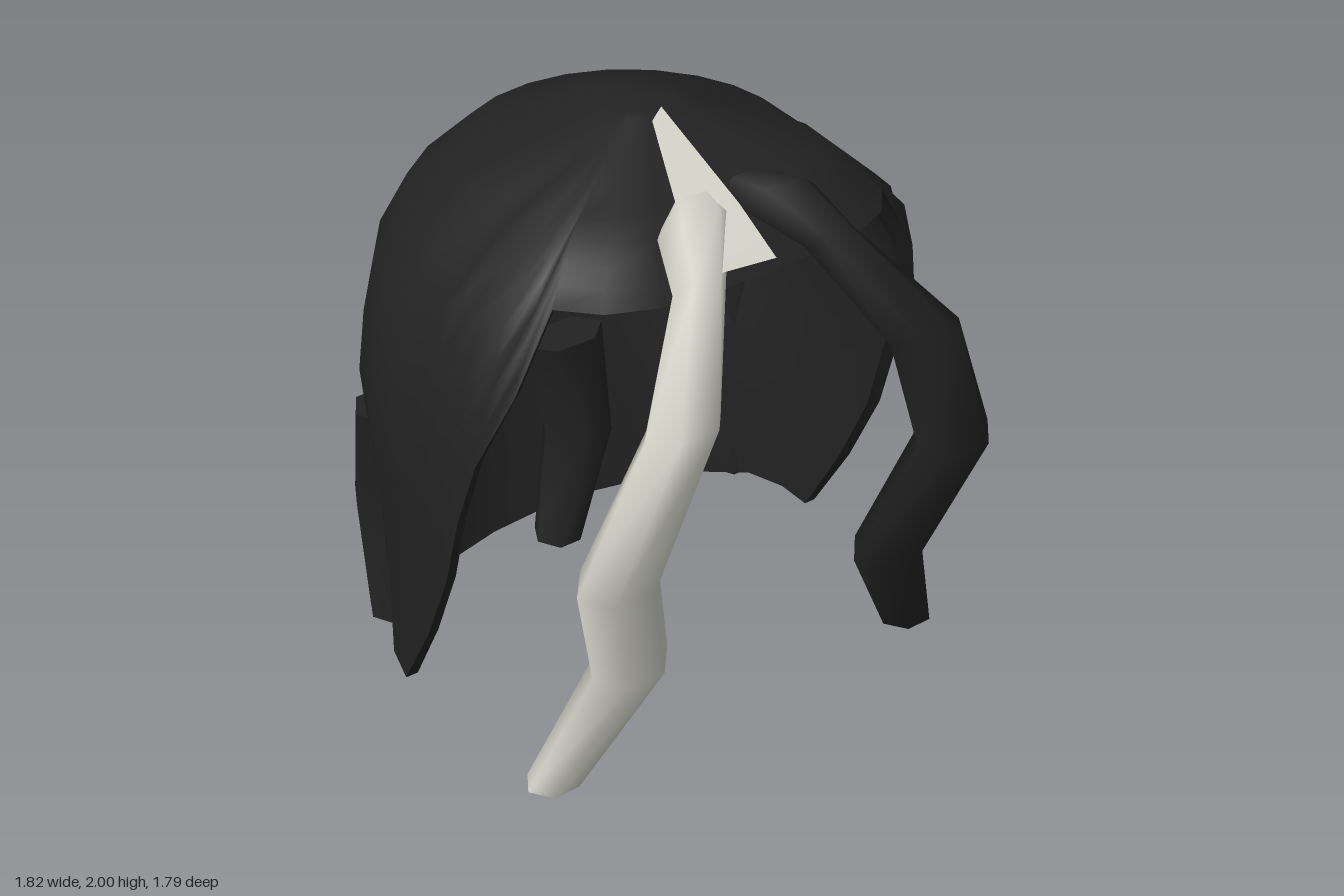
import * as THREE from 'three';

const dark = new THREE.MeshStandardMaterial({ color: 0x222222, side: THREE.DoubleSide });
dark.name = 'charcoal hair';
const pale = new THREE.MeshStandardMaterial({ color: 0xd2d2c8, side: THREE.DoubleSide });
pale.name = 'pale hair';

// Skin a stack of equal rings, ordered top to bottom; rings run from +z towards +x
function loft(rings, closed = true) {
  const n = rings[0].length, pos = rings.flat(2), index = [];
  for (let k = 0; k < rings.length - 1; k++) {
    for (let j = 0; j < (closed ? n : n - 1); j++) {
      const a = k * n + j, b = k * n + (j + 1) % n;
      index.push(a, a + n, b, b, a + n, b + n);
    }
  }
  const g = new THREE.BufferGeometry();
  g.setAttribute('position', new THREE.Float32BufferAttribute(pos, 3));
  g.setIndex(index);
  g.computeVertexNormals();
  return g;
}

function add(group, name, geometry, material) {
  const mesh = new THREE.Mesh(geometry, material);
  mesh.name = name;
  group.add(mesh);
}

// Cap profile: height, half width, centre z, half depth
const profile = [
  [2.0, 0.10, -0.05, 0.13], [1.8, 0.55, -0.10, 0.55], [1.58, 0.79, -0.10, 0.78],
  [1.15, 0.91, -0.10, 0.80], [0.64, 0.90, -0.05, 0.73], [0.07, 0.88, -0.14, 0.51],
];
function capPoint(deg, y, inset) {
  let i = 0;
  while (i < profile.length - 2 && y < profile[i + 1][0]) i++;
  const p = profile[i], q = profile[i + 1], t = (p[0] - y) / (p[0] - q[0]);
  const [rx, zc, rz] = [1, 2, 3].map((m) => p[m] + (q[m] - p[m]) * t);
  const a = THREE.MathUtils.degToRad(deg), s = Math.sin(a), c = Math.cos(a);
  const e = c > 0 ? 0.6 : 1; // front is squarer than the back
  return [
    Math.sign(s) * Math.abs(s) ** e * Math.max(rx - inset, 0.02), y - inset * 0.4 * (y > 1.7 ? 1 : 0),
    zc + Math.sign(c) * Math.abs(c) ** e * Math.max(rz - inset, 0.02),
  ];
}

// Rim height by angle from the front: high over the face, low at the back
const rimHalf = [
  [0, 1.65], [20, 1.65], [38, 1.65], [56, 1.65], [62, 1.4], [70, 1.15], [77.5, 0.9], [83, 0.64],
  [86.5, 0.35], [91, 0.07], [104, 0.1], [118, 0.13], [134, 0.13], [150, 0.13], [165, 0.13], [180, 0.13],
];
const rim = [...rimHalf, ...rimHalf.slice(1, -1).reverse().map(([d, h]) => [360 - d, h])];

function capGeometry() {
  const rows = 10;
  const ring = (k, inset) => rim.map(([d, h]) => capPoint(d, 2 - (2 - h) * (k / rows) ** 1.4, inset));
  const point = (y) => rim.map(() => [0, y, -0.05]);
  const outer = [point(2)], inner = [];
  for (let k = 0; k <= rows; k++) {
    outer.push(ring(k, 0));
    inner.unshift(ring(k, 0.045));
  }
  // repeated rim rings keep the edge crisp
  return loft([...outer, outer[rows + 1], inner[0], ...inner, point(1.98)]);
}

// Six-sided lock of hair; stations are [x, y, z, half width, half depth]
function lockGeometry(stations, side = 1) {
  const pts = stations.map(([x, y, z]) => new THREE.Vector3(x * side, y, z));
  const X = new THREE.Vector3(1, 0, 0);
  const rings = stations.map(([, , , w, d], i) => {
    const T = pts[Math.min(i + 1, pts.length - 1)].clone().sub(pts[Math.max(i - 1, 0)]);
    const D = T.cross(X).normalize();
    if (i === pts.length - 1) D.set(0, 0, 1); // flat tip
    return Array.from({ length: 6 }, (_, k) => {
      const a = Math.PI / 6 + k * Math.PI / 3;
      return pts[i].clone().addScaledVector(X, w * Math.sin(a))
        .addScaledVector(D, d * Math.cos(a) / 0.866).toArray();
    });
  });
  const cap = (i) => rings[i].map(() => pts[i].toArray());
  const last = rings.length - 1;
  return loft([cap(0), rings[0], ...rings, rings[last], cap(last)]);
}

export function createModel() {
  const group = new THREE.Group();
  group.name = 'hair';
  add(group, 'cap', capGeometry(), dark);

  // Long front locks, one pale and one dark
  const frontLock = [
    [0.10, 1.81, 0.36, 0.09, 0.05], [0.16, 1.80, 0.46, 0.14, 0.06], [0.25, 1.69, 0.60, 0.10, 0.05],
    [0.47, 1.38, 0.81, 0.14, 0.085], [0.67, 0.90, 0.76, 0.15, 0.09],
    [0.53, 0.45, 0.63, 0.145, 0.085], [0.745, 0, 0.505, 0.097, 0.075],
  ];
  add(group, 'rightFrontLock', lockGeometry(frontLock, -1), pale);
  add(group, 'leftFrontLock', lockGeometry(frontLock), dark);

  // Short locks at the back and sides
  add(group, 'backLock', lockGeometry([
    [0.015, 0.92, -0.48, 0.155, 0.07], [0.105, 0.5, -0.54, 0.135, 0.11], [-0.045, 0.13, -0.46, 0.085, 0.08],
  ]), dark);
  add(group, 'leftSideLock', lockGeometry([
    [0.76, 0.92, -0.49, 0.08, 0.07], [0.77, 0.5, -0.56, 0.12, 0.12], [0.73, 0.13, -0.46, 0.08, 0.08],
  ]), dark);
  add(group, 'rightSideLock', lockGeometry([
    [-0.74, 0.92, -0.47, 0.08, 0.07], [-0.67, 0.5, -0.56, 0.12, 0.11], [-0.75, 0.13, -0.43, 0.08, 0.08],
  ]), dark);

  // Pale wedge lying on the crown
  add(group, 'paleWedge', loft([
    [[-0.04, 2.0, 0.07], [0, 2.0, 0.08]],
    [[-0.2, 1.825, 0.44], [0, 1.83, 0.47]],
    [[-0.3, 1.725, 0.61], [0, 1.725, 0.65]],
  ], false), pale);
  return group;
}
